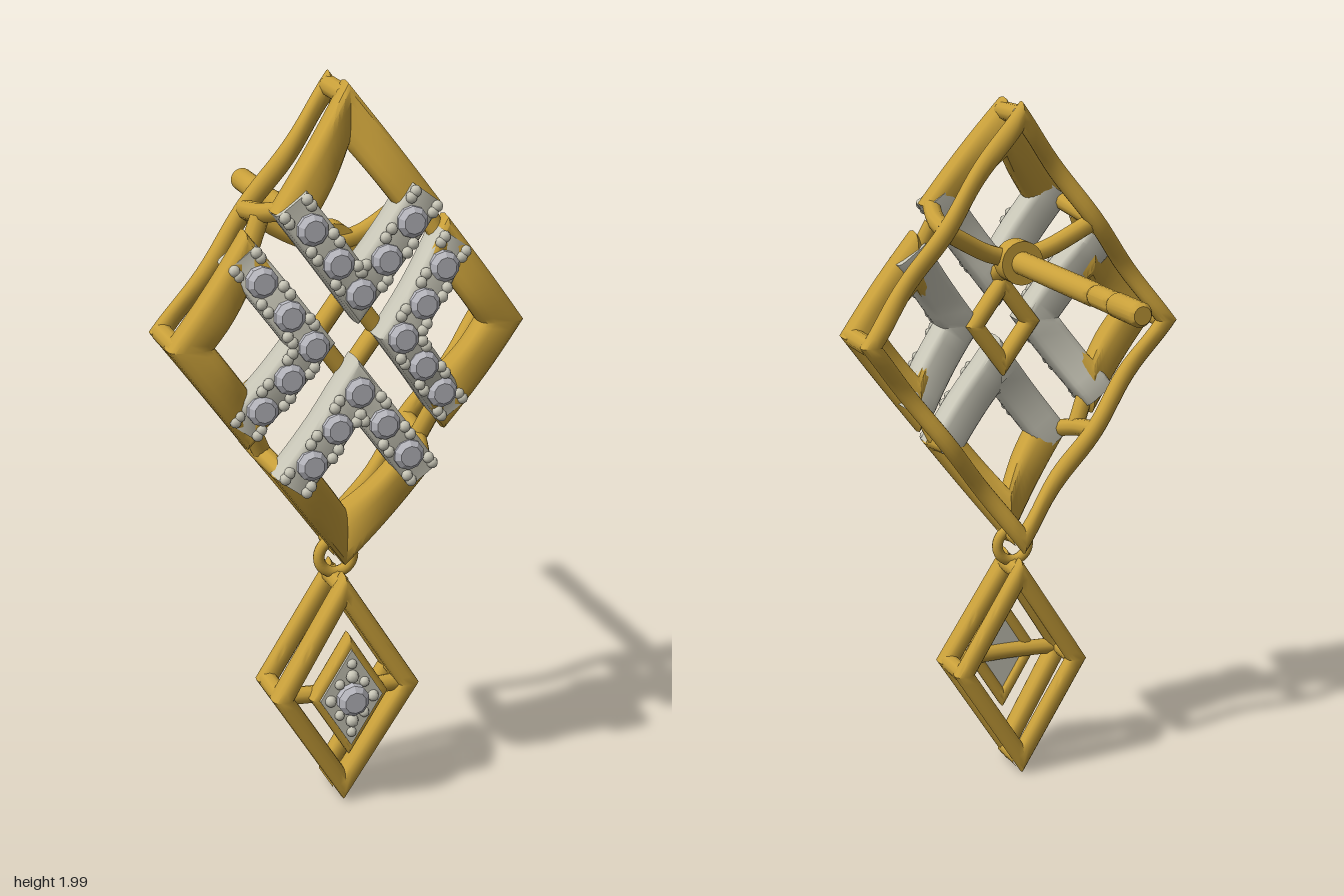
import * as THREE from 'three';
import { mergeGeometries, toCreasedNormals } from 'three/addons/utils/BufferGeometryUtils.js';

const gold = new THREE.MeshStandardMaterial({ color: 0xc9a03a });
const paleMetal = new THREE.MeshStandardMaterial({ color: 0xc9c7b8 });
const gem = new THREE.MeshStandardMaterial({ color: 0xb9b9c0, flatShading: true });
const V3 = (x, y, z) => new THREE.Vector3(x, y, z);

function add(parent, name, geometry, material) {
  const mesh = new THREE.Mesh(geometry, material);
  mesh.name = name;
  parent.add(mesh);
  return mesh;
}

// Rounded-box cross-section: pairs of sideways offset and height
function section(w, t, power = 0.6, n = 14) {
  const bend = (v) => Math.sign(v) * Math.abs(v) ** power;
  return Array.from({ length: n }, (_, j) => {
    const a = (j / n) * Math.PI * 2;
    return [w * bend(Math.cos(a)), t * bend(Math.sin(a))];
  });
}

// Sweep a section along stations {p, o}: position and sideways offset direction
function sweep(stations, sec, closed) {
  const pos = [], idx = [], n = sec.length, m = stations.length;
  for (const { p, o } of stations)
    for (const [d, h] of sec) pos.push(p.x + o.x * d, p.y + o.y * d, p.z + h);
  for (let i = 0; i < (closed ? m : m - 1); i++)
    for (let j = 0; j < n; j++) {
      const a = i * n + j, b = ((i + 1) % m) * n + j;
      const a1 = i * n + (j + 1) % n, b1 = ((i + 1) % m) * n + (j + 1) % n;
      idx.push(a, b, b1, a, b1, a1);
    }
  if (!closed)
    for (let j = 1; j < n - 1; j++) {
      const e = (m - 1) * n;
      idx.push(0, j, j + 1, e, e + j + 1, e + j);
    }
  const g = new THREE.BufferGeometry();
  g.setAttribute('position', new THREE.Float32BufferAttribute(pos, 3));
  g.setIndex(idx);
  return toCreasedNormals(g, 0.7);
}

// Rhombus path with corners right, top, left, bottom; z(k, t) gives height along edge k
function rhombus(cx, cy, hw, hh, z) {
  const corners = [V3(hw, 0, 0), V3(0, hh, 0), V3(-hw, 0, 0), V3(0, -hh, 0)];
  const L = Math.hypot(1 / hw, 1 / hh);
  const at = (k, t) => {
    k = (k + 4) % 4;
    const q = corners[k].clone().lerp(corners[(k + 1) % 4], t);
    return { p: V3(cx + q.x, cy + q.y, z(k, Math.min(1, Math.max(0, t)))), q };
  };
  const ring = (sec, steps = 12) => {
    const st = [];
    for (let k = 0; k < 4; k++)
      for (let i = 0; i < steps; i++) {
        const { p, q } = at(k, i / steps);
        st.push({ p, o: q.multiplyScalar(L) });
      }
    return sweep(st, sec, true);
  };
  // Two edges meeting at corner c, running past their outer ends
  const chevron = (sec, c, extra, steps = 8) => {
    const st = [];
    for (let i = -steps; i <= steps; i++) {
      const k = (c + (i < 0 ? 3 : 0)) % 4;
      const u = (Math.abs(i) / steps) * (1 + extra);
      const { p } = at(k, i < 0 ? 1 - u : u);
      const n = corners[k].clone().add(corners[(k + 1) % 4]);
      const o = i === 0 ? corners[c].clone().multiplyScalar(L)
        : V3(n.x / hw / hw, n.y / hh / hh, 0).normalize();
      st.push({ p, o });
    }
    return sweep(st, sec, false);
  };
  return { at, ring, chevron };
}

function rod(parent, name, points, r) {
  return add(parent, name, new THREE.TubeGeometry(new THREE.CatmullRomCurve3(points), 16, r, 10), gold);
}

function bead(p, r) {
  return new THREE.SphereGeometry(r, 8, 6).translate(p.x, p.y, p.z);
}

// Cut stone with a flat table, facing +z
function stone(p, r) {
  const pts = [[0.001, -0.02], [r, -0.015], [r, 0.006], [r * 0.68, 0.02], [0, 0.02]];
  return new THREE.LatheGeometry(pts.map(([x, y]) => new THREE.Vector2(x, y)), 10)
    .rotateX(Math.PI / 2).translate(p.x, p.y, p.z);
}

// One interlaced link: gold ring with a stone-set chevron at corner c
function petal(parent, name, cx, cy, hw, hh, c, heights) {
  const g = new THREE.Group();
  g.name = name;
  parent.add(g);
  const path = rhombus(cx, cy, hw, hh, (k, t) =>
    heights[k] * (1 - t) + heights[(k + 1) % 4] * t + 0.012 * Math.sin(Math.PI * t));
  add(g, 'goldBand', path.ring(section(0.05, 0.045)), gold);
  add(g, 'stoneBed', path.chevron(section(0.051, 0.05, 0.35), c, 0.12), paleMetal);
  const stones = [], beads = [];
  for (const s of [-1, 0, 1])
    for (const u of s ? [0.4, 0.82] : [0]) {
      const { p } = s < 0 ? path.at(c + 3, 1 - u) : path.at(c, u);
      stones.push(stone(p.clone().add(V3(0, 0, 0.052)), 0.041));
    }
  for (const s of [-1, 1])
    for (const u of [0.17, 0.25, 0.56, 0.66, 1.0, 1.07])
      for (const side of [-1, 1]) {
        const k = s < 0 ? c + 3 : c;
        const { p } = path.at(k, s < 0 ? 1 - u : u);
        const dir = path.at(k, 1).p.sub(path.at(k, 0).p).setZ(0).normalize();
        p.add(V3(dir.y * side * 0.036, -dir.x * side * 0.036, 0.05));
        beads.push(bead(p, 0.0155));
      }
  add(g, 'stones', mergeGeometries(stones), gem);
  add(g, 'claws', mergeGeometries(beads), paleMetal);
}

export function createModel() {
  const root = new THREE.Group();
  root.name = 'earring';

  // Upper rhombus: four interlaced links on a wavy back frame
  const upper = new THREE.Group();
  upper.name = 'upperRhombus';
  root.add(upper);
  petal(upper, 'topLink', 0, 1.697, 0.16, 0.217, 3, [0.445, 0.365, 0.445, 0.44]);
  petal(upper, 'bottomLink', 0, 1.003, 0.16, 0.217, 1, [0.445, 0.44, 0.445, 0.365]);
  petal(upper, 'leftLink', 0.27, 1.35, 0.15, 0.205, 2, [0.392, 0.375, 0.43, 0.375]);
  petal(upper, 'rightLink', -0.27, 1.35, 0.15, 0.205, 0, [0.43, 0.375, 0.392, 0.375]);
  const back = rhombus(0, 1.35, 0.45, 0.608, (k, t) => 0.25 - 0.015 * Math.cos(4 * Math.PI * t));
  add(upper, 'backFrame', back.ring(section(0.025, 0.025, 0.85), 24), gold);
  for (const s of [-1, 1]) {
    rod(upper, 'sidePost', [V3(s * 0.45, 1.35, 0.24), V3(s * 0.45, 1.35, 0.4)], 0.027);
    rod(upper, 'tipPost', [V3(0, 1.35 + s * 0.61, 0.24), V3(0, 1.35 + s * 0.608, 0.37)], 0.027);
    for (const v of [-1, 1]) {
      rod(upper, 'cornerPost', [V3(s * 0.225, 1.35 + v * 0.305, 0.24),
        V3(s * 0.215, 1.35 + v * 0.32, 0.34), V3(s * 0.19, 1.35 + v * 0.345, 0.44)], 0.026);
      rod(upper, 'cornerBrace', [V3(s * 0.22, 1.35 + v * 0.31, 0.35), V3(s * 0.26, 1.35 + v * 0.22, 0.37)], 0.025);
    }
  }
  // Centre frame joining the four links
  const centre = rhombus(0, 1.35, 0.085, 0.115, () => 0.385);
  add(upper, 'centreFrame', centre.ring(section(0.024, 0.03, 0.85)), gold);

  // Ear post with two grooves, its hub and bridge
  const post = [[0, -0.53], [0.024, -0.53], [0.033, -0.515], [0.033, -0.385], [0.026, -0.37], [0.031, -0.355],
    [0.031, -0.265], [0.026, -0.25], [0.033, -0.235], [0.033, 0.27], [0, 0.27]];
  const postGeo = new THREE.LatheGeometry(post.map(([x, y]) => new THREE.Vector2(x, y)), 20).rotateX(Math.PI / 2);
  add(root, 'earPost', toCreasedNormals(postGeo, 0.6), gold).position.y = 1.55;
  const hub = new THREE.CylinderGeometry(0.062, 0.062, 0.06, 24).rotateX(Math.PI / 2);
  add(root, 'postHub', hub, gold).position.set(0, 1.55, 0.26);
  rod(root, 'postBridge', [V3(-0.22, 1.65, 0.245), V3(-0.08, 1.575, 0.27), V3(0, 1.56, 0.275),
    V3(0.08, 1.575, 0.27), V3(0.22, 1.65, 0.245)], 0.026);
  rod(root, 'postSupport', [V3(0, 1.55, 0.27), V3(0, 1.48, 0.43)], 0.03);

  // Connecting ring
  add(root, 'jumpRing', new THREE.TorusGeometry(0.048, 0.016, 10, 28), gold).position.set(0, 0.705, 0.315);

  // Lower drop: front and back frames with corner posts
  const drop = new THREE.Group();
  drop.name = 'drop';
  root.add(drop);
  const cy = 0.345;
  const front = rhombus(0, cy, 0.178, 0.285, (k, t) => 0.375 + 0.018 * (k % 2 ? t : 1 - t));
  add(drop, 'frontFrame', front.ring(section(0.026, 0.035, 0.7)), gold);
  const rear = rhombus(0, cy, 0.178, 0.285, () => 0.262);
  add(drop, 'rearFrame', rear.ring(section(0.026, 0.026, 0.75)), gold);
  for (const s of [-1, 1]) {
    rod(drop, 'sidePost', [V3(s * 0.178, cy, 0.26), V3(s * 0.178, cy, 0.38)], 0.026);
    rod(drop, 'tipPost', [V3(0, cy + s * 0.292, 0.26), V3(0, cy + s * 0.292, 0.375)], 0.027);
  }
  // Raised centre setting on a crossbar
  rod(drop, 'crossbar', [V3(-0.178, cy, 0.385), V3(0, cy, 0.4), V3(0.178, cy, 0.385)], 0.024);
  const rim = rhombus(0, cy, 0.09, 0.145, () => 0.415);
  add(drop, 'settingRim', rim.ring(section(0.017, 0.028, 0.7)), gold);
  const plate = new THREE.Shape([[0.088, 0], [0, 0.14], [-0.088, 0], [0, -0.14]].map(([x, y]) => new THREE.Vector2(x, y)));
  const plateGeo = new THREE.ExtrudeGeometry(plate, { depth: 0.05, bevelEnabled: false });
  add(drop, 'settingPlate', plateGeo, paleMetal).position.set(0, cy, 0.4);
  add(drop, 'dropStone', stone(V3(0, cy, 0.465), 0.044), gem);
  const claws = [];
  for (const s of [-1, 1]) {
    claws.push(bead(V3(s * 0.06, cy, 0.453), 0.016), bead(V3(0, cy + s * 0.065, 0.455), 0.018), bead(V3(0, cy + s * 0.1, 0.45), 0.014));
    for (const v of [-1, 1]) claws.push(bead(V3(s * 0.035, cy + v * 0.045, 0.453), 0.014));
  }
  add(drop, 'dropClaws', mergeGeometries(claws), paleMetal);
  return root;
}
